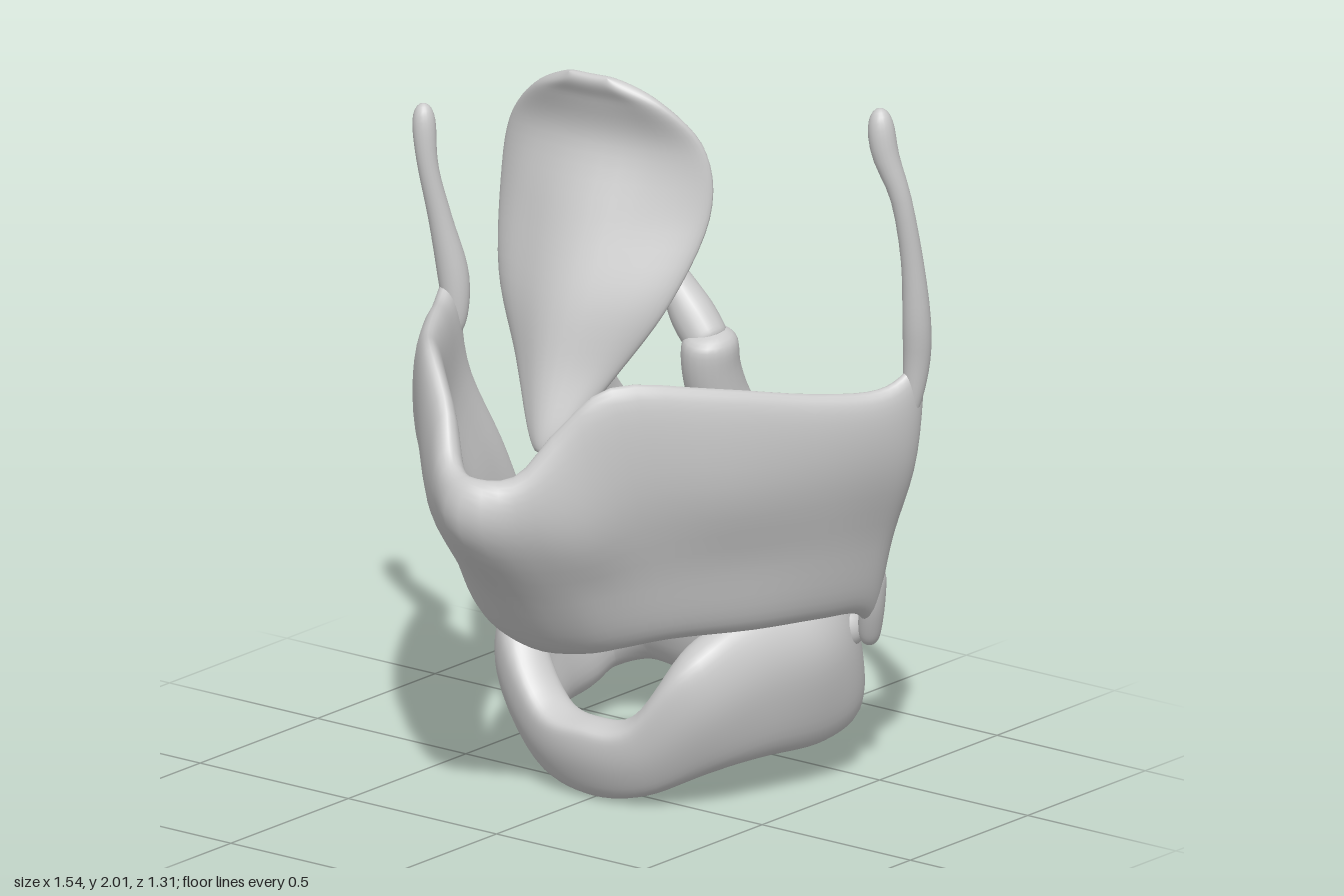
import * as THREE from 'three';
import { mergeVertices } from 'three/addons/utils/BufferGeometryUtils.js';

const material = new THREE.MeshStandardMaterial({ color: 0xcccccc });
const V = (p) => new THREE.Vector3(p[0], p[1], p[2]);
const spline = (pts, closed = false) => new THREE.CatmullRomCurve3(pts, closed, 'catmullrom', 0.5);
// Parameter values that crowd towards both ends, and the taper that rounds those ends
const ease = (i, n) => 0.5 - 0.5 * Math.cos(Math.PI * i / n);
const taper = (t, power) => Math.sqrt(Math.max(0, 1 - Math.abs(2 * t - 1) ** power));

// Smooth skin over a list of closed loops
function skin(name, rings, closed = false) {
  const n = rings[0].length, m = rings.length, index = [];
  for (let i = 0; i < (closed ? m : m - 1); i++) {
    for (let k = 0; k < n; k++) {
      const a = i * n + k, b = ((i + 1) % m) * n + k;
      const c = i * n + (k + 1) % n, d = ((i + 1) % m) * n + (k + 1) % n;
      index.push(a, b, c, b, d, c);
    }
  }
  let geo = new THREE.BufferGeometry().setFromPoints(rings.flat());
  geo.setIndex(index);
  geo = mergeVertices(geo, 1e-5);
  geo.computeVertexNormals();
  const mesh = new THREE.Mesh(geo, material);
  mesh.name = name;
  return mesh;
}

// Thick curved plate through a small net of points, with rounded rims; half(u) is half its thickness
function sheet(name, net, half, closed = false, nu = 72, nv = 24) {
  const along = net[0].map((_, j) => spline(net.map((col) => V(col[j])), closed));
  const rings = [], e = 0.004;
  for (let i = 0; i < (closed ? nu : nu + 1); i++) {
    const u = closed ? i / nu : ease(i, nu);
    const u0 = closed ? (u - e + 1) % 1 : Math.max(0, u - e);
    const u1 = closed ? (u + e) % 1 : Math.min(1, u + e);
    const across = [u0, u, u1].map((w) => spline(along.map((c) => c.getPoint(w))));
    const front = [], back = [];
    for (let j = 0; j <= nv; j++) {
      const v = ease(j, nv), p = across[1].getPoint(v);
      const du = across[2].getPoint(v).sub(across[0].getPoint(v));
      const dv = across[1].getPoint(Math.min(1, v + e)).sub(across[1].getPoint(Math.max(0, v - e)));
      const t = half(u) * taper(v, 6) * (closed ? 1 : taper(u, 12));
      const normal = du.cross(dv).normalize().multiplyScalar(t);
      front.push(p.clone().add(normal));
      if (j > 0 && j < nv) back.unshift(p.clone().sub(normal));
    }
    rings.push([...front, ...back]);
  }
  return skin(name, rings, closed);
}

// Rounded limb along points [x, y, z, radius across x, other radius]
function limb(name, pts, power = 8, nu = 28, nk = 20) {
  const path = spline(pts.map(V));
  const radii = spline(pts.map((p) => new THREE.Vector3(p[3], p[4] ?? p[3], 0)));
  const rings = [];
  for (let i = 0; i <= nu; i++) {
    const u = ease(i, nu), p = path.getPoint(u), r = radii.getPoint(u);
    const T = path.getTangent(u);
    const A = new THREE.Vector3(1, 0, 0).addScaledVector(T, -T.x).normalize();
    const B = A.clone().cross(T);
    const s = taper(u, power), ring = [];
    for (let k = 0; k < nk; k++) {
      const a = k / nk * Math.PI * 2;
      ring.push(p.clone().addScaledVector(A, Math.cos(a) * r.x * s).addScaledVector(B, Math.sin(a) * r.y * s));
    }
    rings.push(ring);
  }
  return skin(name, rings);
}

function group(name, ...parts) {
  const g = new THREE.Group();
  g.name = name;
  return g.add(...parts);
}

// Large V-shaped shield with upper and lower horns
function makeShield() {
  // Each column runs from the top rim to the bottom rim
  const left = [
    [[0, 1.0, .59], [0, .87, .61], [0, .66, .43], [0, .45, .28]],
    [[.11, 1.02, .55], [.12, .86, .52], [.12, .66, .38], [.12, .46, .25]],
    [[.19, 1.15, .47], [.22, .88, .43], [.2, .68, .32], [.2, .48, .21]],
    [[.3, 1.26, .38], [.32, .95, .31], [.3, .7, .2], [.29, .5, .12]],
    [[.46, 1.23, .15], [.46, .95, .11], [.43, .72, 0], [.41, .5, -.07]],
    [[.6, 1.18, -.1], [.58, .95, -.12], [.53, .72, -.2], [.485, .5, -.25]],
    [[.69, 1.17, -.28], [.66, .95, -.3], [.58, .72, -.34], [.52, .49, -.37]],
    [[.735, 1.25, -.4], [.7, .95, -.4], [.6, .7, -.42], [.5, .41, -.46]],
  ];
  // The right wing is shorter towards the back
  const right = left.slice(1).reverse().map((col) => col.map(([x, y, z], j) =>
    [-x * (.98 + .03 * j), y + (z < -.05 ? .03 : 0), z + .18 * (x / .73) ** 2]));
  return group('shieldCartilage',
    sheet('shieldPlate', [...right, ...left], () => .046),
    limb('leftUpperHorn', [[.71, 1.05, -.36, .025], [.727, 1.22, -.37, .036], [.74, 1.35, -.355, .038],
      [.745, 1.52, -.33, .03], [.735, 1.7, -.295, .028], [.7, 1.83, -.27, .037], [.685, 1.95, -.265, .045]]),
    limb('rightUpperHorn', [[-.67, 1.08, -.18, .03], [-.685, 1.24, -.18, .042], [-.705, 1.4, -.15, .032],
      [-.725, 1.56, -.12, .028], [-.74, 1.72, -.12, .04]]),
    limb('leftLowerHorn', [[.565, .62, -.41, .026], [.53, .5, -.43, .034], [.495, .38, -.46, .028]]),
    limb('rightLowerHorn', [[-.61, .65, -.28, .026], [-.585, .55, -.32, .034], [-.55, .455, -.37, .03]]));
}

// Signet-shaped ring with a tall plate at the back
function makeRing() {
  const front = [[0, .21, .09], [0, .12, .085], [0, 0, .03]];
  const back = [[0, .81, -.46], [0, .5, -.53], [0, .15, -.58]];
  const left = [
    [[.13, .24, .08], [.15, .14, .06], [.13, .025, .01]],
    [[.25, .42, .03], [.285, .27, 0], [.25, .08, -.07]],
    [[.3, .5, -.12], [.36, .35, -.15], [.32, .1, -.2]],
    [[.35, .52, -.28], [.41, .37, -.32], [.36, .1, -.38]],
    [[.32, .68, -.36], [.39, .43, -.42], [.37, .13, -.5]],
    [[.25, .87, -.41], [.28, .5, -.48], [.28, .16, -.57]],
    [[.12, .83, -.44], [.13, .5, -.49], [.14, .15, -.57]],
  ];
  const right = [...left].reverse().map((col) => col.map(([x, y, z]) => [-x * 1.1, y, z]));
  return group('ringCartilage',
    // Thin in front, thicker behind
    sheet('ring', [front, ...left, back, ...right], (u) => .066 + .024 * Math.sin(u * Math.PI) ** 6, true, 96),
    limb('leftRingFacet', [[.36, .42, -.41, .09], [.43, .42, -.45, .065], [.47, .42, -.48, .04]], 4),
    limb('rightRingFacet', [[-.4, .42, -.35, .09], [-.47, .42, -.38, .065], [-.51, .42, -.4, .04]], 4));
}

// Small paired pyramids on the rear shoulders of the ring
function makePyramid(side) {
  const name = side > 0 ? 'left' : 'right';
  const lift = (y) => THREE.MathUtils.clamp((y - .75) / .5, 0, 1);
  // The right one leans further forward and inward
  const place = (pts) => pts.map(([x, y, z, ...r]) => side > 0 ? [x, y, z, ...r]
    : [-x + .07 * lift(y), y, z + .08 * lift(y), ...r]);
  return group(name + 'Pyramid',
    limb(name + 'PyramidBody', place([[.28, .77, -.32, .12, .09], [.26, .88, -.28, .12, .1],
      [.24, 1.03, -.18, .08, .09], [.235, 1.17, -.12, .075, .085], [.245, 1.29, -.1, .075, .085]]), 14),
    limb(name + 'MuscleProcess', place([[.26, .92, -.26, .09], [.31, .87, -.31, .085], [.35, .81, -.35, .06]]), 4),
    limb(name + 'VocalProcess', place([[.25, .88, -.28, .09], [.19, .87, -.18, .065], [.12, .87, -.07, .03]]), 6),
    limb(name + 'HornTip', place([[.24, 1.24, -.11, .06, .06], [.17, 1.33, -.11, .06, .06],
      [.11, 1.44, -.1, .025, .04]]), 14));
}

// Leaf-shaped lid, folded forward along its middle and turned a little to one side
function makeLid() {
  // Rows of height, half width, middle z, edge z, sideways shift
  const rows = [
    [1.0, .025, .31, .3, 0], [1.2, .15, .25, .17, -.02], [1.4, .265, .2, .09, -.025],
    [1.62, .325, .12, -.01, -.035], [1.8, .305, .05, -.015, -.03], [1.93, .2, .07, .05, -.01], [2.0, .06, .11, .11, 0],
  ];
  const net = rows.map(([y, w, zc, ze, dx]) => [-1, -.55, 0, .55, 1].map((s) =>
    [dx + s * w, y, zc + (ze - zc) * Math.abs(s) ** 1.4 - .1 * s * w]));
  return sheet('leafLid', net, () => .024, false, 48, 24);
}

export function createModel() {
  return group('throatCartilages', makeShield(), makeRing(), makePyramid(1), makePyramid(-1), makeLid());
}
